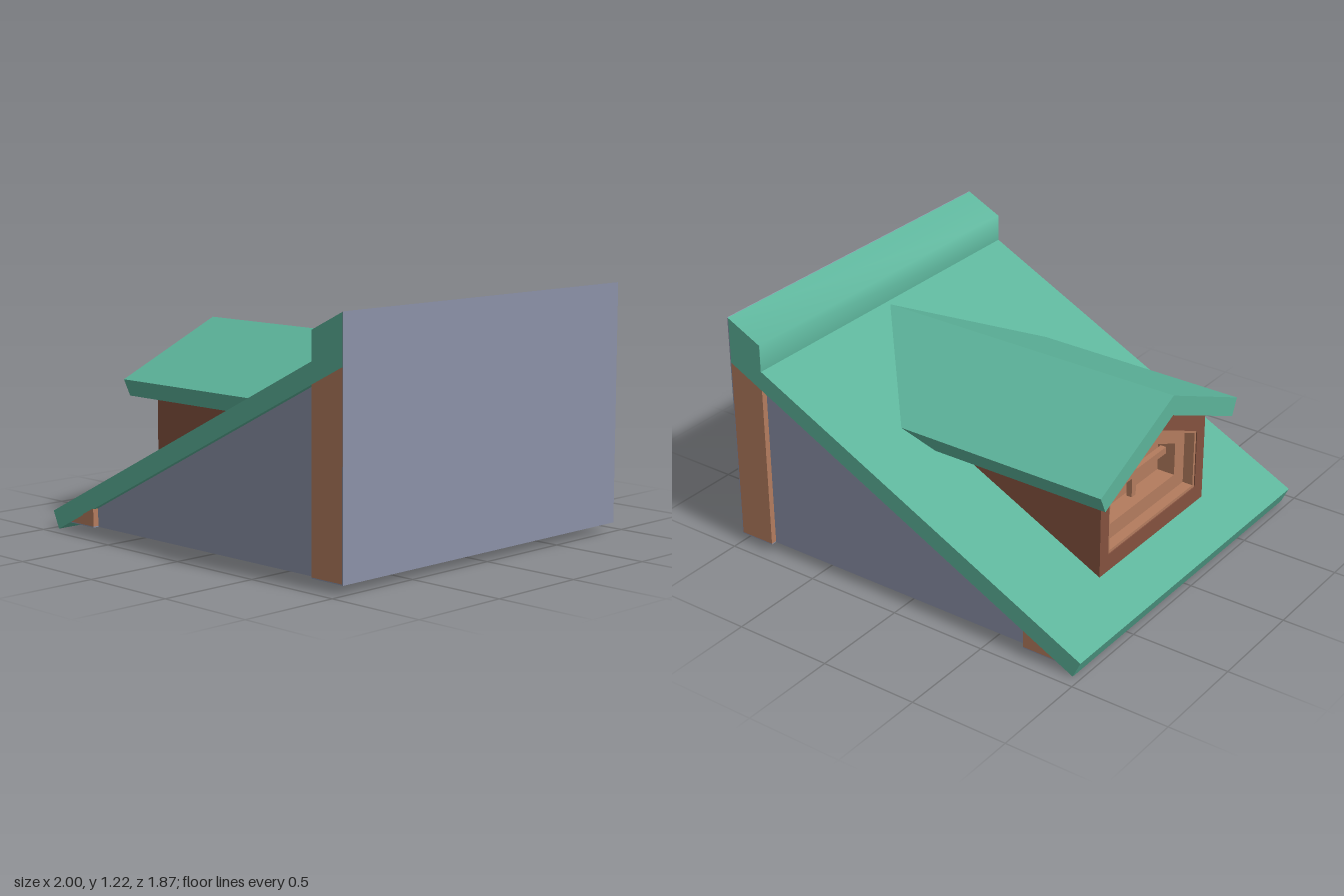
import * as THREE from 'three';

const mat = (name, color, side = THREE.FrontSide) => {
  const m = new THREE.MeshStandardMaterial({ color, side });
  m.name = name;
  return m;
};

export function createModel() {
  const green = mat('roofGreen', 0x5cb39a);
  const trim = mat('trimBrown', 0xb47c5e);
  const dark = mat('darkBrown', 0x84523f);
  const grey = mat('wallGrey', 0x8b91a7);
  const model = new THREE.Group();
  const HALF = 0.935; // half depth of the whole piece

  const add = (name, geometry, material) => {
    const mesh = new THREE.Mesh(geometry, material);
    mesh.name = name;
    model.add(mesh);
    return mesh;
  };
  const outline = (pts) => new THREE.Shape(pts.map(([x, y]) => new THREE.Vector2(x, y)));

  // Side profile (x, y) swept along z, centred
  const sweepZ = (name, pts, half, material) => {
    const g = new THREE.ExtrudeGeometry(outline(pts), { depth: 2 * half, bevelEnabled: false });
    add(name, g.translate(0, 0, -half), material);
  };
  // Front profile (z, y), optionally with a hole, swept along x from x0 to x1
  const sweepX = (name, pts, hole, x0, x1, material) => {
    const shape = outline(pts);
    if (hole) shape.holes.push(outline(hole));
    const g = new THREE.ExtrudeGeometry(shape, { depth: x1 - x0, bevelEnabled: false });
    add(name, g.rotateY(-Math.PI / 2).translate(x1, 0, 0), material);
  };

  // Triangular body and its projecting brown ends
  sweepZ('bodyWalls', [[-0.69, 0.05], [0.9, 0.05], [0.9, 0.935], [-0.69, 0.14]], 0.905, grey);
  sweepZ('highEndPosts', [[0.81, 0.05], [0.995, 0.05], [0.995, 0.9825], [0.81, 0.89]], HALF, trim);
  sweepZ('lowEndPosts', [[-0.87, 0.05], [-0.69, 0.05], [-0.69, 0.14]], HALF, trim);

  // Grey end face and underside
  sweepZ('endWall', [[0.995, 0.045], [1, 0.045], [1, 1.218], [0.995, 1.215]], HALF, grey);
  for (const [x0, x1, half] of [[-0.88, -0.69, HALF], [-0.69, 0.81, 0.905], [0.81, 0.995, HALF]]) {
    sweepZ('baseFloor', [[x0, 0.045], [x1, 0.045], [x1, 0.05], [x0, 0.05]], half, grey);
  }

  // Main sloping roof with the raised ridge
  sweepZ('mainRoof', [[-1, 0.085], [-0.96, 0], [0.995, 0.9825], [0.995, 1.215],
    [0.81, 1.125], [0.81, 0.99]], HALF, green);

  // Softly shaded skin over the ridge step
  const ridge = [[0.808, 0.99], [0.808, 1.127], [0.996, 1.218]];
  const skin = new THREE.BufferGeometry();
  skin.setAttribute('position', new THREE.Float32BufferAttribute(
    ridge.flatMap(([x, y]) => [x, y, -HALF, x, y, HALF]), 3));
  skin.setIndex([0, 1, 2, 1, 3, 2, 2, 3, 4, 3, 5, 4]);
  skin.computeVertexNormals();
  add('ridgeSkin', skin, green);

  // Dormer roof: a chevron running back into the slope
  sweepX('dormerRoof', [[-0.59, 0.715], [-0.552, 0.63], [0, 0.878], [0.552, 0.63],
    [0.59, 0.715], [0, 0.98]], null, -0.865, 0.79, green);

  // Gabled outline lying a given gap below the dormer roof
  const gable = (h, bottom, gap) => [[-h, bottom], [h, bottom],
    [h, 0.878 - 0.45 * h - gap], [0, 0.878 - gap], [-h, 0.878 - 0.45 * h - gap]];

  // Dormer walls and the stepped window frame
  const opening = gable(0.38, 0.285, 0.11);
  const lining = gable(0.365, 0.3, 0.125);
  const inner = gable(0.28, 0.38, 0.2);
  sweepX('dormerWalls', gable(0.45, 0.15, -0.01), opening, -0.775, 0.59, dark);
  sweepX('windowLining', opening, lining, -0.77, -0.62, trim);
  sweepX('windowFrame', lining, inner, -0.715, -0.62, trim);
  sweepX('windowBack', gable(0.375, 0.29, 0.115), null, -0.62, -0.6, trim);

  // Crossed glazing bars
  const bar = (name, h, y, z) => {
    const g = new THREE.BoxGeometry(0.03, h, z);
    add(name, g.translate(-0.65, y, 0), trim);
  };
  bar('uprightBar', 0.3, 0.53, 0.035);
  bar('crossBar', 0.035, 0.5, 0.56);

  return model;
}
